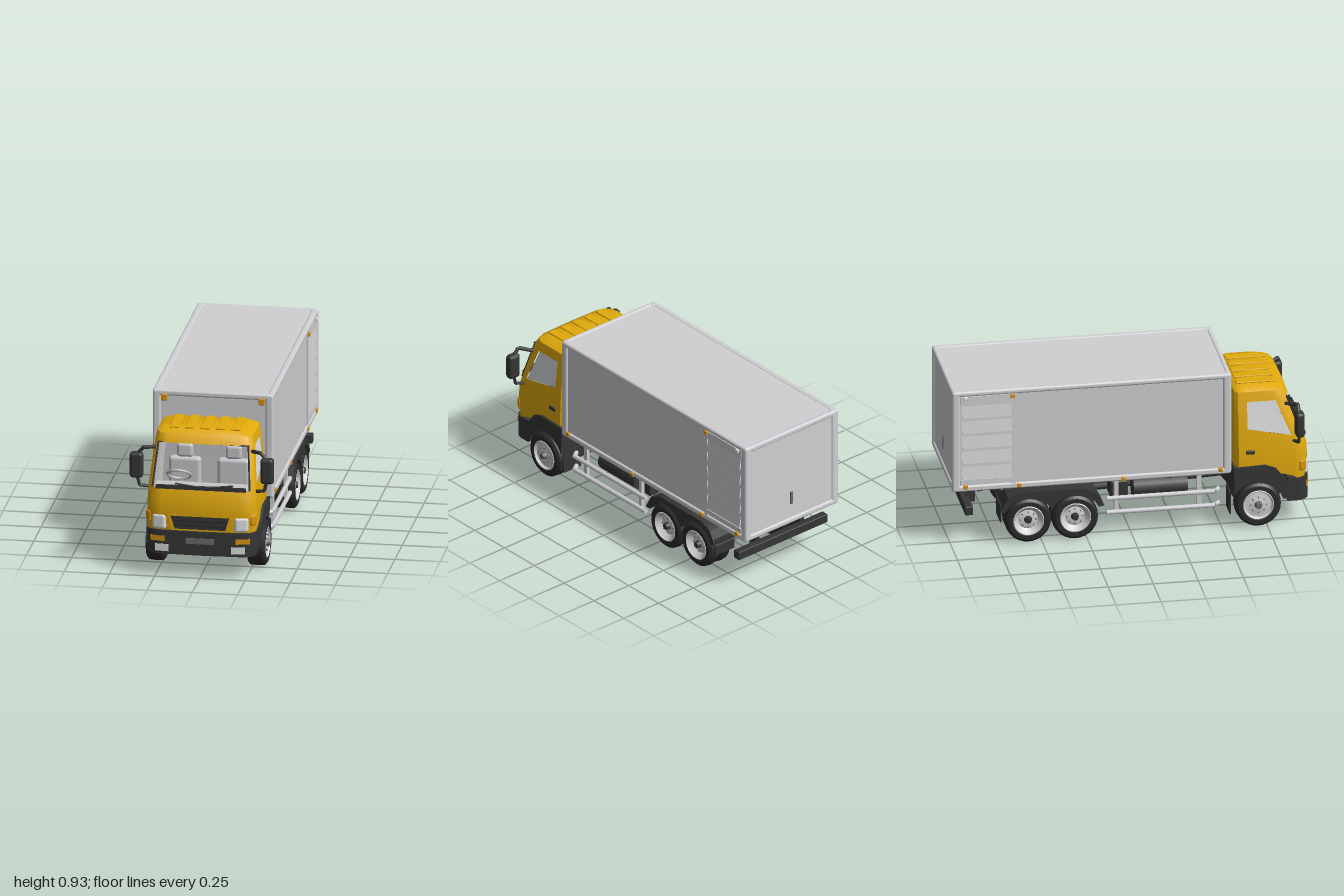
import * as THREE from 'three';
import { toCreasedNormals } from 'three/addons/utils/BufferGeometryUtils.js';
import { RoundedBoxGeometry } from 'three/addons/geometries/RoundedBoxGeometry.js';

const mat = (name, color) => Object.assign(new THREE.MeshStandardMaterial({ color }), { name });

export function createModel() {
  const root = new THREE.Group();
  root.name = 'truck';
  const yellow = mat('cab yellow', 0xe2aa0c), white = mat('body white', 0xd0d0d4), dark = mat('black plastic', 0x363636);
  const rubber = mat('tyre rubber', 0x2b2b2b), amber = mat('amber lamp', 0xd8920f), trim = mat('interior grey', 0xc6c6ca);
  const glass = mat('clear lens', 0xdcdee0), steel = mat('grey metal', 0x6a6a6c);

  // Helpers
  const add = (name, geo, m, x = 0, y = 0, z = 0, parent = root) => {
    const mesh = new THREE.Mesh(geo, m);
    mesh.name = name;
    mesh.position.set(x, y, z);
    parent.add(mesh);
    return mesh;
  };
  const box = (name, m, w, h, d, x, y, z, r = 0) =>
    add(name, r ? new RoundedBoxGeometry(w, h, d, 2, r) : new THREE.BoxGeometry(w, h, d), m, x, y, z);
  const bar = (name, m, a, b, r, sides = 8) => {
    const p = new THREE.Vector3(...a), q = new THREE.Vector3(...b), d = q.clone().sub(p);
    const mesh = add(name, new THREE.CylinderGeometry(r, r, d.length(), sides), m);
    mesh.position.copy(p).add(q).multiplyScalar(0.5);
    mesh.quaternion.setFromUnitVectors(new THREE.Vector3(0, 1, 0), d.normalize());
    return mesh;
  };
  const sides = (fn) => [1, -1].forEach(fn);
  // Outline in (z, y), extruded across x and mirrored by s
  const slab = (name, m, pts, inner, outer, s) => {
    const shape = new THREE.Shape(pts.map(([z, y]) => new THREE.Vector2(z, y)));
    const g = new THREE.ExtrudeGeometry(shape, { depth: outer - inner, bevelEnabled: false });
    g.rotateY(-Math.PI / 2).translate(s > 0 ? outer : -inner, 0, 0);
    return add(name, toCreasedNormals(g, 0.6), m);
  };
  // Wheel clearance curve over one or more axles
  const archPts = (from, to, centres, r) => {
    const out = [];
    for (let k = 0; k <= 32; k++) {
      const z = from + ((to - from) * k) / 32, d = Math.min(...centres.map((c) => Math.abs(z - c)));
      out.push([z, 0.13 + Math.sqrt(Math.max(0, r * r - d * d))]);
    }
    return out;
  };

  // Cargo box
  box('cargoBody', white, 0.648, 0.58, 1.53, 0, 0.63, -0.225);
  sides((s) => {
    for (const z of [0.527, -0.977]) box('cornerPost', white, 0.046, 0.594, 0.046, s * 0.312, 0.628, z, 0.014);
    box('topRail', white, 0.036, 0.03, 1.54, s * 0.317, 0.91, -0.225, 0.012);
    box('bottomRail', white, 0.036, 0.034, 1.54, s * 0.317, 0.348, -0.225, 0.01);
    box('louvrePost', white, 0.012, 0.55, 0.02, s * 0.327, 0.63, -0.66);
    box('louvreFrame', white, 0.012, 0.045, 0.29, s * 0.326, 0.872, -0.81);
    box('louvreFrame', white, 0.012, 0.03, 0.29, s * 0.326, 0.385, -0.81);
    for (let i = 0; i < 5; i++) {
      const slat = box('louvreSlat', white, 0.008, 0.078, 0.275, s * 0.325, 0.445 + i * 0.09, -0.807);
      slat.rotation.z = s * 0.16;
    }
    // Marker lamps
    for (const [z, y] of [[0.49, 0.36], [-0.05, 0.345], [-0.63, 0.35], [-0.925, 0.36], [-0.665, 0.885]])
      box('sideMarker', amber, 0.014, 0.024, 0.024, s * 0.336, y, z, 0.004);
    box('rearMarker', glass, 0.012, 0.02, 0.026, s * 0.336, 0.885, -0.925, 0.004);
    box('frontMarker', amber, 0.036, 0.038, 0.016, s * 0.27, 0.884, 0.549, 0.006);
  });
  for (const z of [0.535, -0.985]) for (const y of [0.908, 0.35])
    box('endRail', white, 0.63, 0.034, 0.03, 0, y, z, 0.012);
  box('doorHandle', steel, 0.014, 0.075, 0.008, 0, 0.49, -0.992);

  // Cab shell: rings of [height, half width, front z, back z]
  const rings = [[0.26, 0.304, 0.982, 0.575], [0.36, 0.305, 0.992, 0.575], [0.44, 0.302, 0.988, 0.575], [0.5, 0.297, 0.972, 0.575],
    [0.735, 0.277, 0.888, 0.575], [0.78, 0.267, 0.865, 0.578], [0.8, 0.235, 0.82, 0.6], [0.805, 0, 0.72, 0.72]];
  const cabPoint = (h, j, inset) => {
    let [y, w, zf, zb] = rings[j];
    if (j === 0) y = [0.35, 0.35, 0.35, 0.35, 0.28, 0.26, 0.26, 0.26, 0.26][h];
    if (j === 3) y = [0.5, 0.53, 0.56, 0.57, 0.52, 0.51, 0.5, 0.5, 0.5][h];
    if (j === 4 && h < 5) y = 0.725;
    if (j === 7) return [0, y - inset, zf];
    w -= inset; zf -= inset; zb += inset;
    const p = [[0, zb], [w - 0.02, zb], [w, zb + 0.02], [w, 0.645], [w, zf - 0.085], [w - 0.004, zf - 0.055],
      [w - 0.028, zf - 0.02], [w * 0.72, zf - 0.004], [0, zf]][h];
    return [p[0], y - (j > 4 ? inset : 0), p[1]];
  };
  const shell = (name, m, inset, keep, flip) => {
    const pos = [];
    const at = (i, j) => {
      const k = i % 16, p = cabPoint(k <= 8 ? k : 16 - k, j, inset);
      return k > 8 ? [-p[0], p[1], p[2]] : p;
    };
    for (let j = 0; j < 7; j++) for (let i = 0; i < 16; i++) {
      const cell = i < 8 ? i : 15 - i;
      if (!keep(cell, j)) continue;
      const a = at(i, j), b = at(i + 1, j), c = at(i + 1, j + 1), d = at(i, j + 1);
      const tris = j === 6 ? [[a, d, b]] : [[a, d, c], [a, c, b]];
      tris.forEach((t) => pos.push(...(flip ? t.reverse() : t).flat()));
    }
    const g = new THREE.BufferGeometry();
    g.setAttribute('position', new THREE.Float32BufferAttribute(pos, 3));
    g.computeVertexNormals();
    return add(name, toCreasedNormals(g, 0.7), m);
  };
  const screen = (c, j) => j === 3 && c >= 6, sideWindow = (c, j) => j === 3 && c === 3;
  shell('cabShell', yellow, 0, (c, j) => !screen(c, j) && !sideWindow(c, j));
  shell('sideWindows', glass, 0.004, sideWindow);
  shell('cabLining', trim, 0.012, (c, j) => j > 0 && !screen(c, j), true);
  for (let i = -2; i <= 2; i++) box('roofRib', yellow, 0.05, 0.01, 0.22, i * 0.085, 0.804, 0.71, 0.004);

  // Windscreen surround, wipers and interior
  const low = cabPoint(6, 3, 0), high = cabPoint(6, 4, 0);
  sides((s) => {
    bar('screenSeal', dark, [s * low[0], low[1], low[2]], [s * high[0], high[1], high[2]], 0.005);
    bar('wiper', dark, [s * 0.02 + 0.02, 0.515, 0.977], [s * 0.16 + 0.02, 0.53, 0.97], 0.005);
    box('seatBase', trim, 0.18, 0.06, 0.16, s * 0.135, 0.42, 0.73, 0.02);
    box('seatBack', trim, 0.18, 0.2, 0.05, s * 0.135, 0.49, 0.66, 0.022);
    box('headrest', trim, 0.09, 0.08, 0.04, s * 0.135, 0.625, 0.66, 0.018);
  });
  bar('screenSeal', dark, [-high[0], high[1], high[2]], [high[0], high[1], high[2] + 0.01], 0.004);
  box('screenCowl', dark, 0.5, 0.022, 0.012, 0, 0.508, 0.967);
  box('dashboard', trim, 0.54, 0.08, 0.09, 0, 0.47, 0.9, 0.015);
  box('cabFloor', dark, 0.58, 0.03, 0.35, 0, 0.355, 0.765);
  const wheelRim = add('steeringWheel', new THREE.TorusGeometry(0.065, 0.007, 8, 24), trim, -0.14, 0.54, 0.84);
  wheelRim.rotation.x = 0.9;

  // Grille
  const trapezoid = (name, m, top, bottom, yTop, yBottom, z) => {
    const s = new THREE.Shape([[-bottom, yBottom], [bottom, yBottom], [top, yTop], [-top, yTop]].map((p) => new THREE.Vector2(...p)));
    add(name, new THREE.ExtrudeGeometry(s, { depth: 0.009, bevelEnabled: false }), m, 0, 0, z);
  };
  trapezoid('grilleSurround', yellow, 0.178, 0.155, 0.362, 0.268, 0.982);
  trapezoid('grille', dark, 0.162, 0.14, 0.35, 0.278, 0.985);
  for (const y of [0.3, 0.325]) box('grilleSlat', rubber, 0.29, 0.01, 0.006, 0, y, 0.996);

  // Bumper with rounded plan
  const plan = new THREE.Shape();
  plan.moveTo(-0.302, 0.865).lineTo(0.302, 0.865).lineTo(0.302, 0.925);
  plan.quadraticCurveTo(0.295, 0.985, 0.22, 0.99).lineTo(0, 0.997).lineTo(-0.22, 0.99).quadraticCurveTo(-0.295, 0.985, -0.302, 0.925);
  const bumper = new THREE.ExtrudeGeometry(plan, { depth: 0.135, bevelEnabled: false });
  add('frontBumper', toCreasedNormals(bumper.rotateX(Math.PI / 2), 0.6), dark, 0, 0.265, 0);
  box('numberPlate', steel, 0.155, 0.033, 0.004, 0, 0.212, 0.997);

  sides((s) => {
    // Lamps
    box('headlight', glass, 0.08, 0.088, 0.04, s * 0.226, 0.312, 0.971, 0.018).rotation.y = s * 0.2;
    box('turnSignal', amber, 0.045, 0.06, 0.03, s * 0.284, 0.335, 0.948, 0.01).rotation.y = s * 0.95;
    box('bumperSignal', amber, 0.08, 0.03, 0.012, s * 0.236, 0.218, 0.983).rotation.y = s * 0.18;
    box('fogLamp', glass, 0.075, 0.04, 0.012, s * 0.21, 0.166, 0.987).rotation.y = s * 0.1;
    // Mirrors and door handle
    box('mirror', dark, 0.074, 0.145, 0.05, s * 0.362, 0.612, 0.922, 0.018);
    bar('mirrorArm', dark, [s * 0.27, 0.7, 0.86], [s * 0.325, 0.712, 0.92], 0.011);
    bar('mirrorArm', dark, [s * 0.325, 0.712, 0.92], [s * 0.362, 0.67, 0.92], 0.01);
    bar('mirrorArm', dark, [s * 0.29, 0.485, 0.9], [s * 0.345, 0.495, 0.92], 0.009);
    bar('mirrorArm', dark, [s * 0.345, 0.495, 0.92], [s * 0.362, 0.56, 0.92], 0.009);
    box('doorHandle', dark, 0.01, 0.022, 0.05, s * 0.304, 0.435, 0.66, 0.004);
    // Fenders and mud flaps
    slab('frontFender', dark, [[0.57, 0.19], [0.565, 0.35], [0.74, 0.358], [0.8, 0.335], [0.86, 0.255], [0.875, 0.15],
      ...archPts(0.838, 0.575, [0.7], 0.14)], 0.2, 0.318, s);
    slab('rearFender', dark, [[-0.735, 0.19], [-0.69, 0.27], [-0.62, 0.3], [-0.27, 0.3], [-0.2, 0.27], [-0.155, 0.19],
      ...archPts(-0.187, -0.703, [-0.315, -0.575], 0.14)], 0.18, 0.33, s);
    box('mudFlap', dark, 0.12, 0.13, 0.008, s * 0.26, 0.15, 0.545);
    box('mudFlap', dark, 0.14, 0.1, 0.008, s * 0.255, 0.18, -0.728);
    // Side guards
    for (const y of [0.225, 0.142]) {
      bar('guardRail', white, [s * 0.315, y, 0.46], [s * 0.315, y, -0.14], 0.013, 10);
      bar('guardEnd', white, [s * 0.315, y, 0.46], [s * 0.28, y, 0.485], 0.013, 10);
    }
    for (const z of [0.375, -0.085]) box('guardPost', white, 0.02, 0.2, 0.024, s * 0.3, 0.235, z);
    // Chassis
    box('chassisRail', dark, 0.035, 0.07, 1.75, s * 0.105, 0.275, 0.01);
    box('bodyBearer', dark, 0.04, 0.03, 1.48, s * 0.14, 0.322, -0.22);
    bar('airTank', dark, [s * 0.205, 0.235, 0.32], [s * 0.205, 0.235, 0.02], 0.062, 20);
    box('batteryBox', dark, 0.12, 0.1, 0.1, s * 0.2, 0.25, -0.06, 0.01);
    box('rearBracket', dark, 0.03, 0.1, 0.05, s * 0.16, 0.25, -0.87);
  });
  for (let i = 0; i < 7; i++) box('crossBeam', dark, 0.6, 0.02, 0.03, 0, 0.324, 0.42 - i * 0.21);
  box('rearBumper', dark, 0.64, 0.052, 0.045, 0, 0.208, -0.903, 0.006);
  box('engineBay', dark, 0.36, 0.22, 0.32, 0, 0.235, 0.74);
  box('oilPan', dark, 0.33, 0.05, 0.2, 0, 0.1, 0.72, 0.015);
  bar('driveShaft', dark, [0, 0.2, 0.58], [0, 0.14, -0.6], 0.02, 10);

  // Wheels: tyre section is [radius, offset across]
  const wheel = (name, x, z, s, width, front) => {
    const g = new THREE.Group();
    g.name = name;
    g.position.set(x, 0.129, z);
    g.rotation.z = -s * Math.PI / 2;
    root.add(g);
    const h = width / 2, lathe = (pts) => toCreasedNormals(new THREE.LatheGeometry(pts.map((p) => new THREE.Vector2(...p)), 28), 0.6);
    add('tyre', lathe([[0.07, -h], [0.112, -h], [0.126, -h + 0.012], [0.129, 0], [0.126, h - 0.012], [0.112, h],
      [0.088, h], [0.082, h - 0.01]]), rubber, 0, 0, 0, g);
    const face = front ? h - 0.012 : h - 0.03;
    add('rim', lathe([[0.0, -h + 0.005], [0.07, -h], [0.088, h - 0.004], [0.082, h + 0.001], [0.074, h - 0.012], [0.055, face], [0.035, face + 0.006], [0, face + 0.006]]), white, 0, 0, 0, g);
    add('hub', new THREE.CylinderGeometry(0.016, 0.024, 0.03, 16), front ? steel : dark, 0, face + 0.014, 0, g);
    for (let i = 0; i < 8; i++) {
      const a = (i * Math.PI) / 4;
      add('wheelNut', new THREE.CylinderGeometry(0.004, 0.004, 0.01, 6), steel, Math.cos(a) * 0.044, face + 0.006, Math.sin(a) * 0.044, g);
    }
  };
  sides((s) => {
    wheel('frontWheel', s * 0.28, 0.7, s, 0.1, true);
    for (const z of [-0.315, -0.575]) {
      wheel('rearOuterWheel', s * 0.296, z, s, 0.07, false);
      wheel('rearInnerWheel', s * 0.218, z, s, 0.07, false);
    }
  });
  for (const z of [0.7, -0.315, -0.575]) {
    bar('axle', dark, [-0.26, 0.129, z], [0.26, 0.129, z], 0.024, 12);
    if (z < 0) add('differential', new THREE.SphereGeometry(0.06, 16, 12), dark, 0, 0.135, z);
  }
  return root;
}
